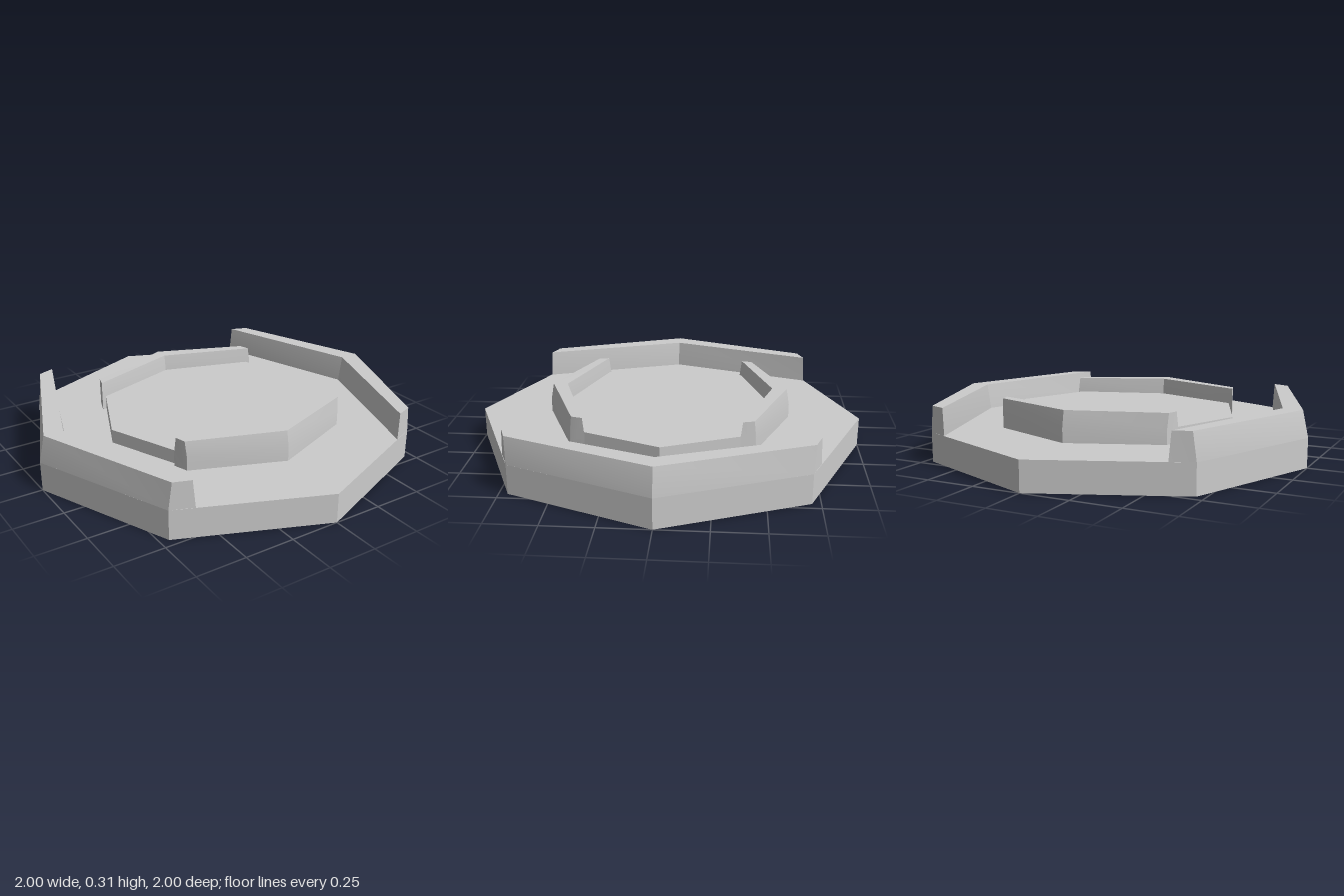
import * as THREE from 'three';
import { toCreasedNormals } from 'three/addons/utils/BufferGeometryUtils.js';

const material = new THREE.MeshStandardMaterial({ color: 0xcccccc });

// Solid joined from closed cross-sections, ordered along +z, each counter-clockwise.
function loft(sections) {
  const n = sections[0].length, last = (sections.length - 1) * n, index = [];
  for (let i = 0; i < sections.length - 1; i++) {
    for (let j = 0; j < n; j++) {
      const a = i * n + j, b = i * n + (j + 1) % n;
      index.push(a, b, b + n, a, b + n, a + n);
    }
  }
  for (let j = 1; j < n - 1; j++) {
    index.push(0, j + 1, j, last, last + j, last + j + 1);
  }
  const geometry = new THREE.BufferGeometry();
  geometry.setAttribute('position', new THREE.Float32BufferAttribute(sections.flat(2), 3));
  geometry.setIndex(index);
  return toCreasedNormals(geometry, 0.6);
}

// Two-segment wall, bent in the middle; end points mirror front to back.
function bentWall(middle, end) {
  return loft([end.map(([x, y, z]) => [x, y, -z]), middle, end]);
}

function octagon(radius, bottom, top) {
  const geometry = new THREE.CylinderGeometry(radius, radius, top - bottom, 8);
  geometry.translate(0, (top + bottom) / 2, 0);
  return toCreasedNormals(geometry, 0.6);
}

export function createModel() {
  const model = new THREE.Group();
  model.name = 'octagonalPlatform';

  function add(name, geometry, turn = 0) {
    const mesh = new THREE.Mesh(geometry, material);
    mesh.name = name;
    mesh.rotation.y = turn;
    model.add(mesh);
  }

  // Wide base and the raised centre floor
  add('base', octagon(1, 0, 0.15));
  add('centreFloor', octagon(0.615, 0.1, 0.22));

  // Tall outer walls along the left and right sides
  const outerWall = bentWall(
    [[1, 0, 0], [1, 0.15, 0], [0.97, 0.285, 0], [0.87, 0.285, 0], [0.85, 0.15, 0], [0.85, 0, 0]],
    [[0.707, 0, 0.707], [0.707, 0.15, 0.707], [0.69, 0.287, 0.714],
      [0.605, 0.287, 0.745], [0.595, 0.15, 0.752], [0.595, 0, 0.752]]
  );
  add('leftOuterWall', outerWall);
  add('rightOuterWall', outerWall, Math.PI);

  // Low rims at the front and back of the centre floor
  const innerRim = bentWall(
    [[0.63, 0.1, 0], [0.63, 0.22, 0], [0.615, 0.305, 0], [0.54, 0.305, 0], [0.53, 0.22, 0], [0.53, 0.1, 0]],
    [[0.45, 0.1, 0.455], [0.45, 0.22, 0.455], [0.44, 0.3, 0.46],
      [0.385, 0.3, 0.475], [0.375, 0.22, 0.48], [0.375, 0.1, 0.48]]
  );
  add('frontRim', innerRim, -Math.PI / 2);
  add('backRim', innerRim, Math.PI / 2);

  return model;
}
